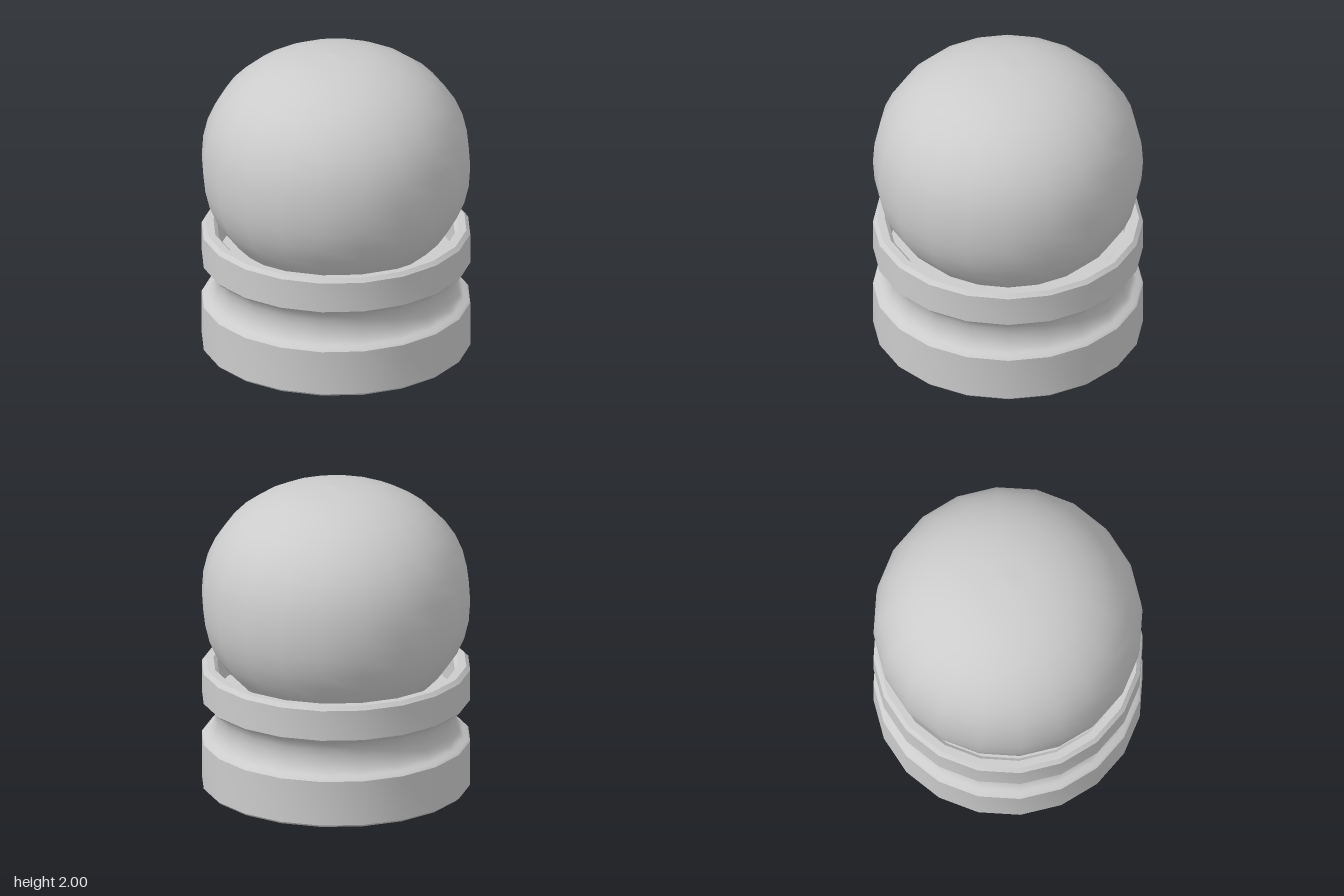
import * as THREE from 'three';
import { toCreasedNormals } from 'three/addons/utils/BufferGeometryUtils.js';

const SIDES = 20;
const R = 0.86;

// Revolve a profile listed from the bottom up
function revolve(name, profile) {
  const points = profile.map(([r, y]) => new THREE.Vector2(r, y));
  const material = new THREE.MeshStandardMaterial({ color: 0xcccccc });
  const mesh = new THREE.Mesh(new THREE.LatheGeometry(points, SIDES), material);
  mesh.name = name;
  return mesh;
}

export function createModel() {
  const group = new THREE.Group();
  group.name = 'ballFinial';

  // Base: lower drum, rounded groove, upper collar with a hollow seat
  const groove = [];
  for (let i = 0; i <= 8; i++) {
    const a = (i / 8) * Math.PI;
    groove.push([0.845 - 0.075 * Math.sin(a), 0.45 - 0.125 * Math.cos(a)]);
  }
  const base = revolve('base', [
    [0, 0], [0.845, 0], [R, 0.015],
    [R, 0.31], ...groove, [R, 0.59],
    [R, 0.79], [0.835, 0.815],
    [0.785, 0.815], [0.76, 0.79], [0.76, 0.6], [0, 0.6],
  ]);
  base.geometry = toCreasedNormals(base.geometry, THREE.MathUtils.degToRad(32));
  group.add(base);

  // Ball: slightly squashed and fuller than an ellipsoid
  const profile = [];
  const rings = 20;
  const power = 2 / 2.2;
  for (let i = 0; i <= rings; i++) {
    const a = (i / rings - 0.5) * Math.PI;
    const s = Math.sin(a);
    const r = i % rings === 0 ? 0 : R * Math.cos(a) ** power;
    profile.push([r, 1.26 + 0.74 * Math.sign(s) * Math.abs(s) ** power]);
  }
  group.add(revolve('ball', profile));

  return group;
}
